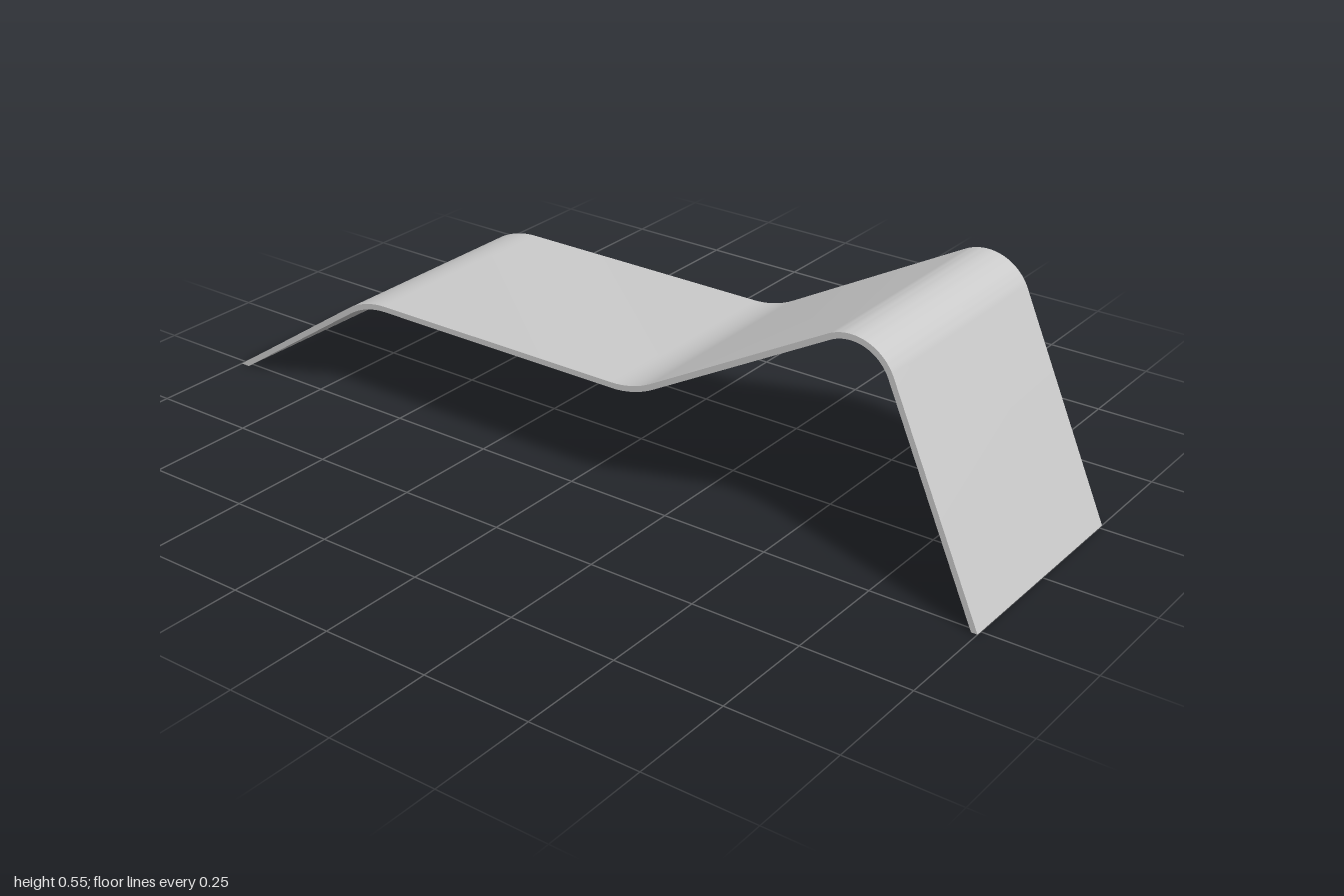
import * as THREE from 'three';
import { toCreasedNormals } from 'three/addons/utils/BufferGeometryUtils.js';

const V = (x, y) => new THREE.Vector2(x, y);
const HALF = 0.0065; // half the sheet thickness
const WIDTH = 0.526;

// Centre line of the bent sheet: corner point and bend radius
const bends = [
  { p: V(-0.988, 0) },
  { p: V(-0.578, 0.271), r: 0.2 },
  { p: V(0.176, 0.271), r: 0.22 },
  { p: V(0.739, 0.579), r: 0.1 },
  { p: V(0.993, 0) },
];

// Points on both faces of the sheet, with a true arc at every bend
function sheetOutline() {
  const upper = [], lower = [];
  const add = (p, offset) => {
    upper.push(p.clone().add(offset));
    lower.push(p.clone().sub(offset));
  };
  const direction = (i) => bends[i + 1].p.clone().sub(bends[i].p).normalize();
  // The ends are cut level with the floor
  const addEnd = (p, d) => add(p, V(-Math.sign(d.y) * HALF / Math.abs(d.y), 0));

  addEnd(bends[0].p, direction(0));
  for (let i = 1; i < bends.length - 1; i++) {
    const { p, r } = bends[i];
    const a = direction(i - 1), b = direction(i);
    const turn = Math.atan2(a.cross(b), a.dot(b));
    const side = Math.sign(turn);
    const start = p.clone().addScaledVector(a, -r * Math.tan(Math.abs(turn) / 2));
    const centre = start.clone().addScaledVector(V(-a.y, a.x), side * r);
    const steps = Math.ceil(Math.abs(turn) / 0.07);
    for (let k = 0; k <= steps; k++) {
      const normal = V(-a.y, a.x).rotateAround(V(0, 0), turn * k / steps);
      add(centre.clone().addScaledVector(normal, -side * r), normal.multiplyScalar(HALF));
    }
  }
  addEnd(bends[bends.length - 1].p, direction(bends.length - 2));
  return [...lower, ...upper.reverse()];
}

export function createModel() {
  const group = new THREE.Group();
  group.name = 'bentSheetLounger';

  // One continuous sheet: foot slope, flat seat, backrest and rear leg
  const geometry = new THREE.ExtrudeGeometry(new THREE.Shape(sheetOutline()), {
    depth: WIDTH, bevelEnabled: false, steps: 1,
  });
  geometry.translate(0, 0, -WIDTH / 2);
  const sheet = new THREE.Mesh(
    toCreasedNormals(geometry, 0.4),
    new THREE.MeshStandardMaterial({ color: 0xcccccc }),
  );
  sheet.name = 'bentSheet';
  group.add(sheet);
  return group;
}
